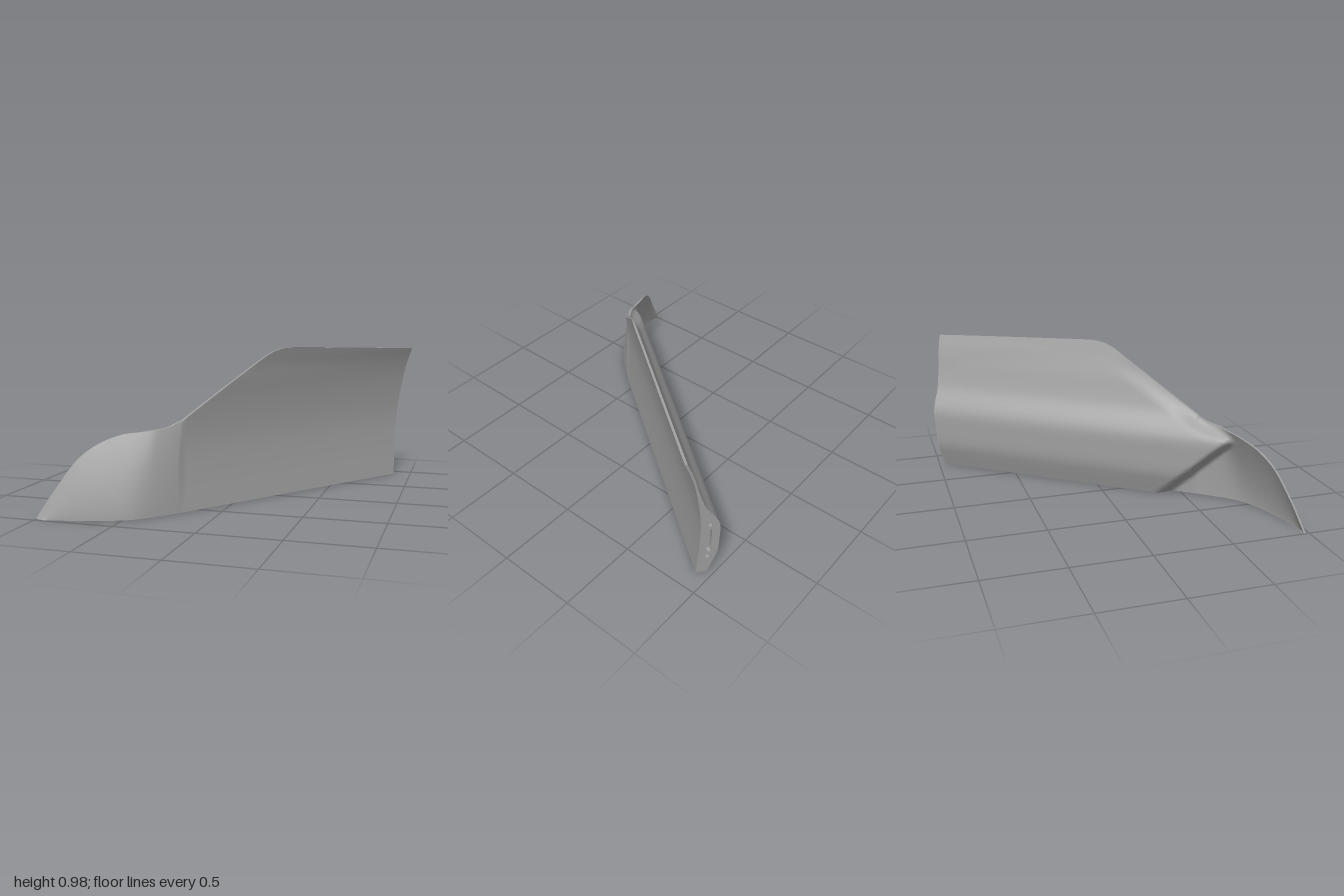
import * as THREE from 'three';
import { toCreasedNormals } from 'three/addons/utils/BufferGeometryUtils.js';

const ROWS = 28;
const END = 1.235;   // where the wall stops and the end block starts
const { smoothstep, lerp } = THREE.MathUtils;

// Smooth interpolation through [x, y] pairs
function curve(p, x) {
  const n = p.length - 1;
  let i = 0;
  while (i < n - 1 && x > p[i + 1][0]) i++;
  const slope = (k) => {
    const a = p[Math.max(k - 1, 0)], b = p[Math.min(k + 1, n)];
    return (b[1] - a[1]) / (b[0] - a[0]);
  };
  const h = p[i + 1][0] - p[i][0];
  const t = THREE.MathUtils.clamp((x - p[i][0]) / h, 0, 1);
  const t2 = t * t, t3 = t2 * t;
  return (2 * t3 - 3 * t2 + 1) * p[i][1] + (t3 - 2 * t2 + t) * h * slope(i)
    + (3 * t2 - 2 * t3) * p[i + 1][1] + (t3 - t2) * h * slope(i + 1);
}

// Wall frame: s runs along the wall to its rear end, u points out of the front face
const toWorld = (u, y, s) => new THREE.Vector3(0.8 * u + 0.6 * s, y, 0.6 * u - 0.8 * s);
const uOf = (p) => 0.8 * p.x + 0.6 * p.z;
const sOf = (p) => 0.6 * p.x - 0.8 * p.z;

const frontProfile = [[0, 0.152], [0.2, 0.14], [0.4, 0.137], [0.55, 0.149], [0.73, 0.178], [0.85, 0.21], [0.93, 0.24], [0.98, 0.256]];
const backProfile = [[0, 0.087], [0.09, 0.055], [0.17, 0.031], [0.3, 0.025], [0.41, 0.028], [0.48, 0.058], [0.56, 0.11], [0.65, 0.142], [0.75, 0.17], [0.98, 0.245]];
const topLine = [[-0.6, 0.56], [-0.553, 0.59], [-0.267, 0.77], [-0.05, 0.905], [0.013, 0.942], [0.083, 0.967], [0.16, 0.977], [0.3, 0.974], [0.8, 0.953], [1.27, 0.93]];

const frontU = (s, y) => curve(frontProfile, y) + 0.028 * (1.265 - s) / 2 * (1 - smoothstep(y, 0.75, 0.97));
const lean = (s, y) => 0.07 * y * smoothstep(s, 0.6, END);

// Nose: foot line and top line, listed from the wall to the tip
const noseFoot = new THREE.CatmullRomCurve3([
  [-0.218, 0.587], [-0.3, 0.69], [-0.37, 0.77], [-0.43, 0.825], [-0.5, 0.865],
  [-0.6, 0.905], [-0.72, 0.94], [-0.85, 0.97], [-0.95, 0.99],
].map(([x, z]) => new THREE.Vector3(x, 0, z)));
const noseTop = new THREE.CatmullRomCurve3([
  [-0.228, 0.56, 0.579], [-0.29, 0.525, 0.63], [-0.36, 0.512, 0.68], [-0.44, 0.5, 0.705], [-0.54, 0.487, 0.74],
  [-0.66, 0.44, 0.805], [-0.77, 0.355, 0.865], [-0.89, 0.18, 0.93], [-1, 0.004, 0.977],
].map((p) => new THREE.Vector3(...p)));

// Back of the shell: a thin skin that swells into the hollow-looking rear beam
function backPoint(front, normal, t) {
  const s = sOf(front), y = front.y;
  const skin = front.clone().addScaledVector(normal, -0.014);
  const cut = lerp(-0.15, 0.42, THREE.MathUtils.clamp((-0.3 - s) / 0.6, 0, 1));
  const swell = smoothstep(y, cut, cut + 0.1) * smoothstep(s, -1, -0.82)
    * (1 - 0.85 * smoothstep(t, 0.84, 1));
  const u = Math.min(uOf(skin), curve(backProfile, y));
  return skin.lerp(toWorld(u, y, s), swell);
}

function noseColumn(k) {
  const foot = noseFoot.getPoint(k), top = noseTop.getPoint(k);
  const tan = noseFoot.getTangent(k);
  const normal = new THREE.Vector3(tan.z, 0, -tan.x);
  const front = [], back = [];
  for (let j = 0; j <= ROWS; j++) {
    const t = j / ROWS, p = foot.clone().lerp(top, Math.pow(t, 1.6));
    p.y = top.y * t;
    front.push(p);
    back.push(backPoint(p, normal, t));
  }
  return { front, back };
}

function wallColumn(s) {
  const height = curve(topLine, s), normal = new THREE.Vector3(0.8, 0, 0.6);
  const front = [], back = [];
  for (let j = 0; j <= ROWS; j++) {
    const t = j / ROWS, y = height * t;
    const p = toWorld(frontU(s, y), y, s + lean(s, y));
    front.push(p);
    back.push(backPoint(p, normal, t));
  }
  return { front, back };
}

// Smooth surface over a grid of points, facing i x j
function sheet(rows) {
  const pos = [], index = [], m = rows[0].length;
  rows.forEach((r) => r.forEach((p) => pos.push(p.x, p.y, p.z)));
  for (let i = 0; i < rows.length - 1; i++) {
    for (let j = 0; j < m - 1; j++) {
      const a = i * m + j, b = a + m;
      index.push(a, b, b + 1, a, b + 1, a + 1);
    }
  }
  const g = new THREE.BufferGeometry();
  g.setAttribute('position', new THREE.Float32BufferAttribute(pos, 3));
  g.setIndex(index);
  g.computeVertexNormals();
  return g;
}

// Places a flat (-u, y, depth) geometry at the rear end of the wall
function mapToEnd(g) {
  const pos = g.attributes.position;
  for (let i = 0; i < pos.count; i++) {
    const y = pos.getY(i);
    const p = toWorld(-pos.getX(i), y, END + pos.getZ(i) + lean(END, y));
    pos.setXYZ(i, p.x, p.y, p.z);
  }
  g.computeVertexNormals();
  return g;
}

function circleHole(u, y, r) {
  return new THREE.Path().absarc(-u, y, r, 0, Math.PI * 2, true);
}

function slotHole(u, y0, y1, r) {
  const h = new THREE.Path();
  h.absarc(-u, y1, r, 0, Math.PI, false);
  h.absarc(-u, y0, r, Math.PI, Math.PI * 2, false);
  h.closePath();
  return h;
}

export function createModel() {
  const group = new THREE.Group();
  group.name = 'curvedBlade';
  const steel = new THREE.MeshStandardMaterial({ color: 0xa0a0a0 });
  steel.name = 'grey steel';
  steel.side = THREE.DoubleSide;
  const add = (name, geometry) => {
    const mesh = new THREE.Mesh(geometry, steel);
    mesh.name = name;
    group.add(mesh);
  };

  // Columns from the nose tip to the rear end
  const columns = [];
  for (let i = 0; i < 48; i++) columns.push(noseColumn(1 - i / 48));
  for (let i = 0; i <= 64; i++) columns.push(wallColumn(lerp(-0.6, END, i / 64)));

  add('frontFace', sheet(columns.map((c) => c.front)));
  add('backFace', sheet(columns.map((c) => c.back).reverse()));
  add('underside', sheet(columns.map((c) => [c.back[0], c.front[0]])));
  add('topEdge', sheet(columns.map((c) => [c.front[ROWS], c.back[ROWS]])));

  // End block with a slot and two bolt holes
  const last = columns[columns.length - 1];
  const outline = [...last.back, ...[...last.front].reverse()]
    .map((p) => new THREE.Vector2(-uOf(p), p.y));
  add('endFloor', mapToEnd(new THREE.ShapeGeometry(new THREE.Shape(outline))));
  const plate = new THREE.Shape(outline);
  plate.holes.push(slotHole(0.085, 0.195, 0.365, 0.014), circleHole(0.085, 0.415, 0.013), circleHole(0.09, 0.14, 0.013));
  const block = new THREE.ExtrudeGeometry(plate, { depth: 0.03, bevelEnabled: false, curveSegments: 10 });
  add('endBlock', toCreasedNormals(mapToEnd(block), 0.6));

  return group;
}
